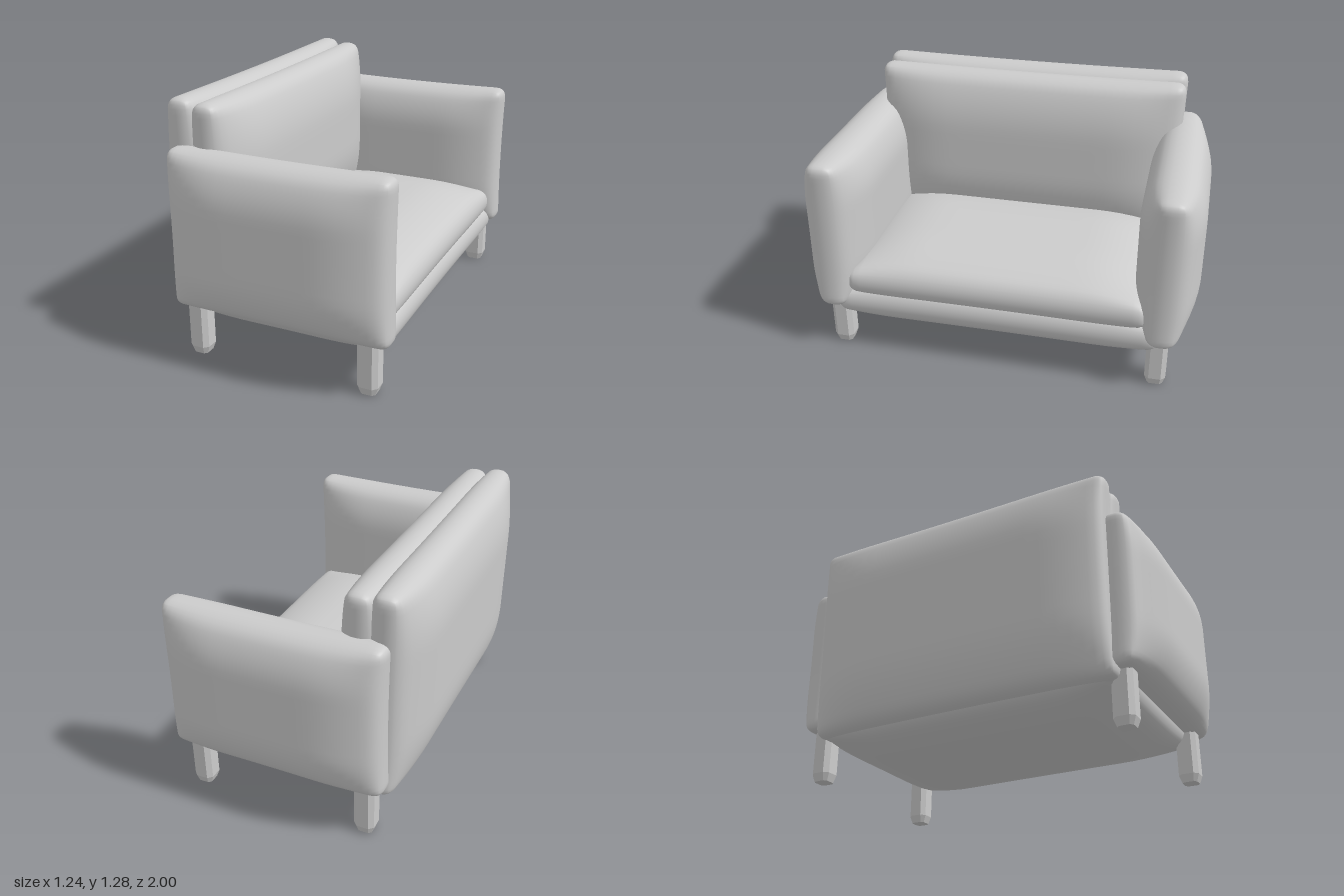
import * as THREE from 'three';
import { mergeVertices } from 'three/addons/utils/BufferGeometryUtils.js';

const material = new THREE.MeshStandardMaterial({ color: 0xcccccc });

// Stuffed cushion in the XY plane: rounded slab whose faces swell towards the middle
function cushionGeometry(w, h, edge, swell, rampX, rampY) {
  const half = [w / 2, h / 2, edge];
  const r = 0.052;
  const g = new THREE.BoxGeometry(2, 2, 2, 28, 28, 8);
  g.deleteAttribute('normal');
  g.deleteAttribute('uv');
  const pos = g.attributes.position;
  const p = new THREE.Vector3(), q = new THREE.Vector3();
  const ramp = (d, length) => {
    const k = 1 - Math.min(1, Math.max(0, d) / length);
    return Math.pow(1 - k * k, 0.8);
  };
  for (let i = 0; i < pos.count; i++) {
    p.fromBufferAttribute(pos, i);
    // Crowd the grid towards the borders, then round the borders off
    for (let a = 0; a < 3; a++) {
      const v = Math.sin(p.getComponent(a) * Math.PI / 2) * half[a];
      p.setComponent(a, v);
      q.setComponent(a, THREE.MathUtils.clamp(v, r - half[a], half[a] - r));
    }
    p.sub(q);
    if (p.length() > r) p.setLength(r);
    p.add(q);
    const fill = ramp(half[0] - Math.abs(p.x), rampX) * ramp(half[1] - Math.abs(p.y), rampY);
    const u = p.x / half[0], v = p.y / half[1];
    p.z *= 1 + (swell / edge - 1) * fill;
    // Borders pull in slightly between the corners
    p.x -= 0.008 * u * (1 - v * v);
    p.y -= 0.008 * v * (1 - u * u);
    pos.setXYZ(i, p.x, p.y, p.z);
  }
  const merged = mergeVertices(g, 1e-5);
  merged.computeVertexNormals();
  return merged;
}

// Square leg with chamfered edges and a tapered foot
function legGeometry(width, height) {
  const a = width / 2, c = 0.014, taper = 0.04, inset = 0.014;
  const b = a - inset;
  const s = new THREE.Shape();
  [[b, b - c], [b - c, b], [c - b, b], [-b, b - c], [-b, c - b], [c - b, -b], [b - c, -b], [b, c - b]]
    .forEach(([x, y], i) => (i ? s.lineTo(x, y) : s.moveTo(x, y)));
  const g = new THREE.ExtrudeGeometry(s, {
    depth: height - 2 * taper, bevelEnabled: true, bevelSegments: 1,
    bevelThickness: taper, bevelSize: inset,
  });
  g.rotateX(-Math.PI / 2);
  g.translate(0, taper, 0);
  return g;
}

export function createModel() {
  const sofa = new THREE.Group();
  sofa.name = 'sofa';
  const add = (name, geometry, x, y, z) => {
    const mesh = new THREE.Mesh(geometry, material);
    mesh.name = name;
    mesh.position.set(x, y, z);
    sofa.add(mesh);
    return mesh;
  };

  // Base and seat cushions lie flat
  const flat = (name, w, depth, swell, x, y) =>
    add(name, cushionGeometry(w, depth, 0.06, swell, 0.36, 0.36).rotateX(-Math.PI / 2), x, y, 0);
  flat('baseCushion', 1.09, 1.66, 0.157, 0.045, 0.277);
  flat('seatCushion', 0.99, 1.54, 0.16, 0.095, 0.4);

  // Two back cushions stand side by side, leaning back a little
  const upright = (name, height, swell, x, y, lean) => {
    const g = cushionGeometry(1.66, height, 0.06, swell, 0.38, 0.32).rotateY(Math.PI / 2);
    add(name, g, x, y, 0).rotation.z = lean;
  };
  upright('outerBackCushion', 1.075, 0.15, -0.463, 0.744, 0.02);
  upright('innerBackCushion', 0.87, 0.155, -0.338, 0.83, 0.008);

  // Arms and legs on both sides
  const arm = cushionGeometry(1.13, 0.805, 0.068, 0.16, 0.34, 0.24);
  const leg = legGeometry(0.105, 0.36);
  for (const side of [-1, 1]) {
    add('arm', arm, 0.06, 0.66, side * 0.84);
    for (const x of [-0.397, 0.505]) add('leg', leg, x, 0, side * 0.825);
  }
  return sofa;
}
